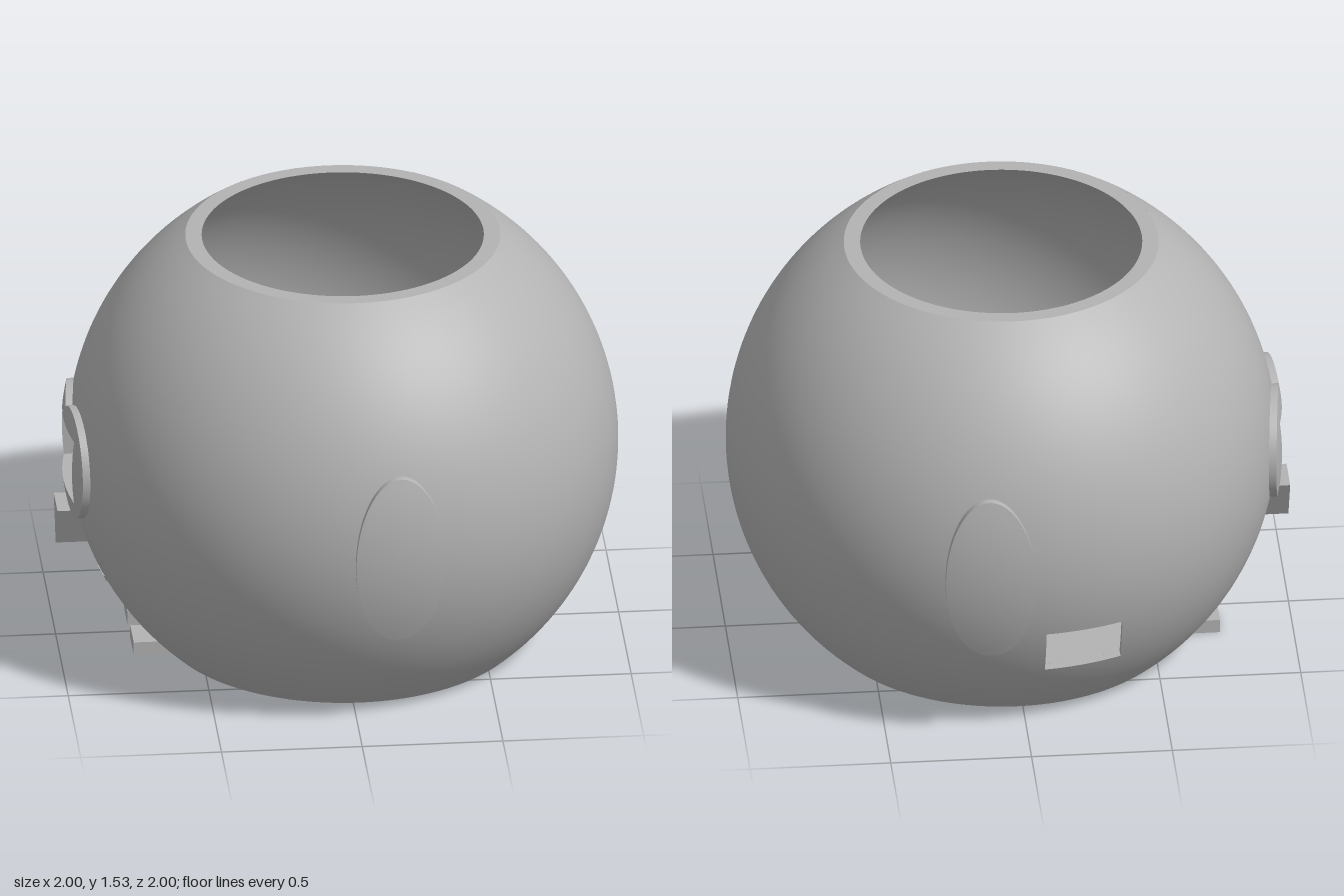
import * as THREE from 'three';
import { toCreasedNormals } from 'three/addons/utils/BufferGeometryUtils.js';

const OUTER = 0.975, INNER = 0.943, RAISED = 1.0;   // sphere radii: outside, inside, raised details
const BOTTOM = -0.73, TOP = 0.8, FLOOR = -0.69;     // heights relative to the sphere centre
const EYE = { u: 0, v: 0, hw: 0.2, hh: 0.12 };      // window in the face (-x side)
const SLOT = { u: 0.2175, v: -0.365, hw: 0.1375, hh: 0.095 }; // slot in the back (-z side)

// Grid surface; the front faces du x dv. skip(i, j) leaves a cell open.
function surface(nu, nv, fn, flip = false, skip = () => false) {
  const pos = [], idx = [];
  for (let j = 0; j <= nv; j++) for (let i = 0; i <= nu; i++) pos.push(...fn(i, j));
  for (let j = 0; j < nv; j++) for (let i = 0; i < nu; i++) {
    if (skip(i, j)) continue;
    const a = j * (nu + 1) + i, b = a + 1, d = a + nu + 1, c = d + 1;
    if (flip) idx.push(a, c, b, a, d, c);
    else idx.push(a, b, c, a, c, d);
  }
  const g = new THREE.BufferGeometry();
  g.setAttribute('position', new THREE.Float32BufferAttribute(pos, 3));
  g.setIndex(idx);
  return toCreasedNormals(g, 0.5);
}

// Spreads subdivisions between break values
function spread(breaks, counts, i) {
  let k = 0;
  while (k < counts.length - 1 && i >= counts[k]) i -= counts[k++];
  return breaks[k] + (breaks[k + 1] - breaks[k]) * i / counts[k];
}

// Truncated sphere with openings for the face window and the back slot
function bowlWall(R, yBase, flip) {
  const cols = [56, 12, 16, 8, 36], rows = [14, 8, 6, 10, 26];
  const yBreaks = [yBase, SLOT.v - SLOT.hh, SLOT.v + SLOT.hh, -EYE.hh, EYE.hh, TOP];
  const sum = a => a.reduce((s, n) => s + n, 0);
  const fn = (i, j) => {
    const y = spread(yBreaks, rows, j), r = Math.sqrt(R * R - y * y);
    const e = Math.asin(EYE.hw / r), full = Math.PI * 2;
    const s0 = full - Math.acos((-SLOT.u - SLOT.hw) / r);
    const s1 = full - Math.acos((-SLOT.u + SLOT.hw) / r);
    const p = spread([0, Math.PI - e, Math.PI + e, s0, s1, full], cols, i);
    return [r * Math.cos(p), y, r * Math.sin(p)];
  };
  const skip = (i, j) =>
    (i >= 56 && i < 68 && j >= 28 && j < 38) || (i >= 84 && i < 92 && j >= 14 && j < 22);
  return surface(sum(cols), sum(rows), fn, flip, skip);
}

// Outlines in polar form
const ellipse = (a, b) => t => a * b / Math.hypot(b * Math.cos(t), a * Math.sin(t));
const rect = o => t => Math.min(o.hw / Math.abs(Math.cos(t)), o.hh / Math.abs(Math.sin(t)));
const twinCircles = (d, r) => t =>
  d * Math.abs(Math.cos(t)) + Math.sqrt(r * r - (d * Math.sin(t)) ** 2);

// Angles around an outline, including the corners of a rectangle
function angles(o) {
  const a = Array.from({ length: 97 }, (_, i) => i / 96 * Math.PI * 2);
  if (o) {
    const c = Math.atan2(o.hh, o.hw);
    a.push(c, Math.PI - c, Math.PI + c, 2 * Math.PI - c);
  }
  return a.sort((p, q) => p - q);
}

// Point at polar offset from (u, v), projected along +z onto the sphere R
function project(u, v, t, r, R) {
  const x = u + r * Math.cos(t), y = v + r * Math.sin(t);
  return [x, y, Math.sqrt(R * R - x * x - y * y)];
}
const face = (u, v, inner, outer, ang) => surface(ang.length - 1, 10, (i, j) => {
  const a = inner(ang[i]), b = outer(ang[i]);
  return project(u, v, ang[i], b + (a - b) * j / 10, RAISED);
});
const rim = (u, v, line, from, to, ang) => surface(ang.length - 1, 1, (i, j) =>
  project(u, v, ang[i], line(ang[i]), j ? to : from));

export function createModel() {
  const model = new THREE.Group();
  model.name = 'birdBowl';
  const grey = new THREE.MeshStandardMaterial({ color: 0xb3b3b3, side: THREE.DoubleSide });
  grey.name = 'grey';
  const add = (name, geo, turn = 0) => {
    const m = new THREE.Mesh(geo, grey);
    m.name = name;
    m.rotation.y = turn;
    model.add(m);
    return m;
  };

  // Hollow body
  add('outerWall', bowlWall(OUTER, BOTTOM, true));
  add('innerWall', bowlWall(INNER, FLOOR, false));
  const radiusAt = (R, y) => Math.sqrt(R * R - y * y);
  const lip = add('topLip', new THREE.RingGeometry(radiusAt(INNER, TOP), radiusAt(OUTER, TOP), 128));
  lip.rotation.x = -Math.PI / 2;
  lip.position.y = TOP;
  const floor = add('innerFloor', new THREE.CircleGeometry(radiusAt(INNER, FLOOR), 128));
  floor.rotation.x = -Math.PI / 2;
  floor.position.y = FLOOR;
  const base = add('base', new THREE.CircleGeometry(radiusAt(OUTER, BOTTOM), 128));
  base.rotation.x = Math.PI / 2;
  base.position.y = BOTTOM;

  // Slot through the back wall
  add('slotEdge', rim(SLOT.u, SLOT.v, rect(SLOT), OUTER, INNER, angles(SLOT)), Math.PI);

  // Oval wings on both sides
  for (const [side, u, turn] of [['left', 0.12, 0], ['right', -0.12, Math.PI]]) {
    const oval = ellipse(0.16, 0.32), ang = angles();
    add(side + 'Wing', face(u, -0.03, () => 0, oval, ang), turn);
    add(side + 'WingEdge', rim(u, -0.03, oval, 0.96, RAISED, ang), turn);
  }

  // Eye mask: two joined discs with a rectangular window
  const mask = twinCircles(0.11, 0.2), ang = angles(EYE), toFace = -Math.PI / 2;
  add('eyeMask', face(0, 0, rect(EYE), mask, ang), toFace);
  add('eyeMaskEdge', rim(0, 0, mask, 0.96, RAISED, ang), toFace);
  add('eyeWindowEdge', rim(0, 0, rect(EYE), RAISED, INNER, ang), toFace);

  // Beak: prism pointing down
  const tri = new THREE.Shape([[-0.075, -0.21], [0, -0.37], [0.075, -0.21]]
    .map(p => new THREE.Vector2(...p)));
  const beak = new THREE.ExtrudeGeometry(tri, { depth: 0.13, bevelEnabled: false });
  add('beak', beak.translate(0, 0, 0.89), toFace);

  // Small V-shaped feather marks on the chest
  for (const u of [-0.13, 0, 0.13]) for (const s of [-1, 1]) {
    const x = u + s * 0.02, y = -0.44;
    const mark = add('featherMark', new THREE.BoxGeometry(0.012, 0.06, 0.012));
    const p = new THREE.Vector3(-Math.sqrt(OUTER ** 2 - x * x - y * y), y, x);
    mark.position.copy(p).multiplyScalar(0.997);
    mark.lookAt(p.multiplyScalar(2));
    mark.rotateZ(-s * 0.7);
  }

  // Feet
  for (const s of [-1, 1]) {
    const foot = add(s > 0 ? 'leftFoot' : 'rightFoot', new THREE.BoxGeometry(0.16, 0.05, 0.14));
    foot.position.set(-0.68, BOTTOM + 0.025, s * 0.125);
  }

  model.position.set(0.02, -BOTTOM, 0);
  const root = new THREE.Group();
  root.name = 'model';
  root.add(model);
  return root;
}
